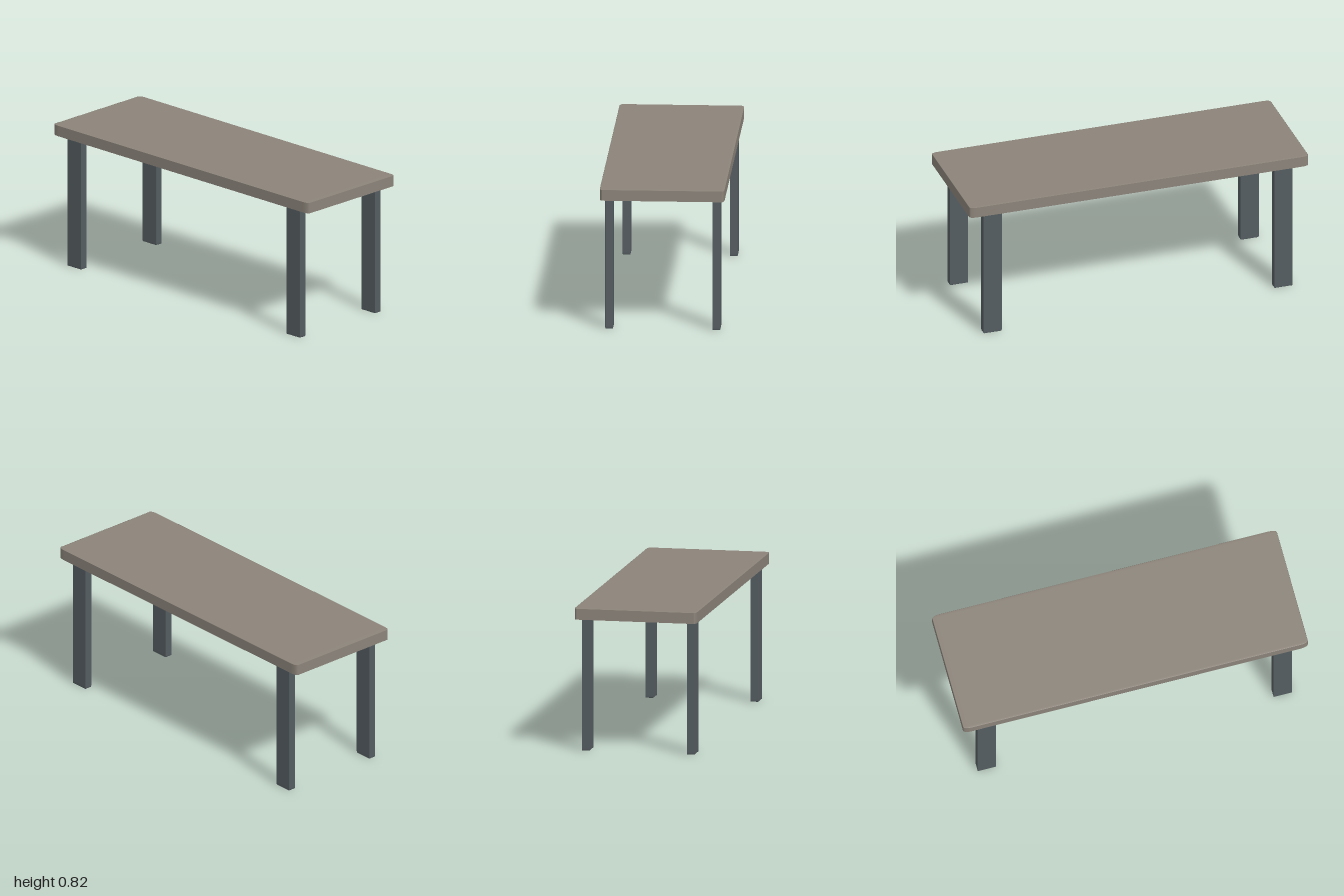
import * as THREE from 'three';
import { RoundedBoxGeometry } from 'three/addons/geometries/RoundedBoxGeometry.js';

// Unit block with softened edges, stretched to size so the rounding follows each side's length
function block(name, w, h, d, material) {
  const geometry = new RoundedBoxGeometry(1, 1, 1, 3, 0.022);
  geometry.scale(w, h, d);
  const mesh = new THREE.Mesh(geometry, material);
  mesh.name = name;
  return mesh;
}

export function createModel() {
  const group = new THREE.Group();
  group.name = 'table';

  const topMaterial = new THREE.MeshStandardMaterial({ color: 0x8c847a });
  topMaterial.name = 'warm grey top';
  const legMaterial = new THREE.MeshStandardMaterial({ color: 0x555d61 });
  legMaterial.name = 'slate legs';

  // Slab
  const top = block('tableTop', 2, 0.064, 0.7, topMaterial);
  top.position.y = 0.79;
  group.add(top);

  // Four flat legs, mirrored on both axes
  for (const [side, sx] of [['Left', 1], ['Right', -1]]) {
    for (const [end, sz] of [['front', 1], ['back', -1]]) {
      const leg = block(`${end}${side}Leg`, 0.108, 0.759, 0.044, legMaterial);
      leg.position.set(sx * 0.858, 0.3795, sz * 0.301);
      group.add(leg);
    }
  }
  return group;
}
